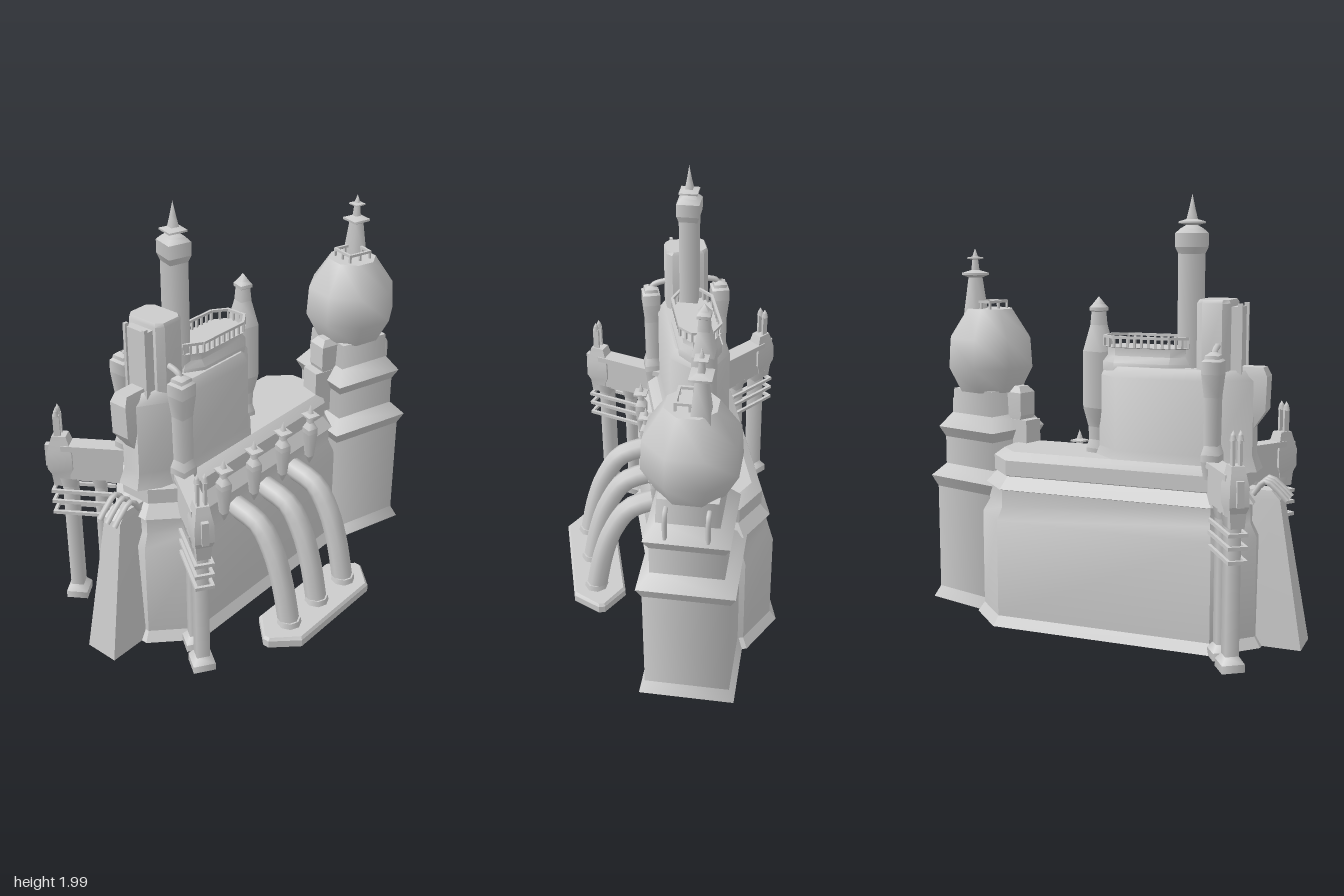
import * as THREE from 'three';
import { toCreasedNormals } from 'three/addons/utils/BufferGeometryUtils.js';

const grey = new THREE.MeshStandardMaterial({ color: 0xcccccc, side: THREE.DoubleSide });

function add(parent, name, geometry, x = 0, y = 0, z = 0) {
  const mesh = new THREE.Mesh(geometry, grey);
  mesh.name = name;
  mesh.position.set(x, y, z);
  parent.add(mesh);
  return mesh;
}

function group(parent, name, x = 0, z = 0, yaw = 0) {
  const g = new THREE.Group();
  g.name = name;
  g.position.set(x, 0, z);
  g.rotation.y = yaw;
  parent.add(g);
  return g;
}

// Box given by its bottom and top heights
function box(parent, name, w, d, y0, y1, x = 0, z = 0) {
  return add(parent, name, new THREE.BoxGeometry(w, y1 - y0, d), x, (y0 + y1) / 2, z);
}

// Skin over rings [y, [[x, z], ...]], bottom to top, counterclockwise from above
function loft(rings, crease = 0.9, openBottom = false) {
  const n = rings[0][1].length, pos = [], index = [];
  for (const [y, pts] of rings) for (const [x, z] of pts) pos.push(x, y, z);
  for (let r = 0; r < rings.length - 1; r++) for (let i = 0; i < n; i++) {
    const a = r * n + i, b = r * n + (i + 1) % n;
    index.push(a, b, b + n, a, b + n, a + n);
  }
  const top = (rings.length - 1) * n;
  for (let i = 1; i < n - 1; i++) {
    index.push(top, top + i, top + i + 1);
    if (!openBottom) index.push(0, i + 1, i);
  }
  const g = new THREE.BufferGeometry();
  g.setAttribute('position', new THREE.Float32BufferAttribute(pos, 3));
  g.setIndex(index);
  return toCreasedNormals(g, crease);
}

// Long octagon: half width a, half width of ends e, end and shoulder positions along z
const octagon = (a, e, zb, sb, sf, zf) =>
  [[e, zf], [a, sf], [a, sb], [e, zb], [-e, zb], [-a, sb], [-a, sf], [-e, zf]];
const rect = (a, z0, z1) => [[a, z1], [a, z0], [-a, z0], [-a, z1]];

// Four-sided turned shape from [half width, y]; doubled points keep the ledges crisp
function turned(profile) {
  const pts = [];
  profile.forEach(([r, y], i) => {
    const p = new THREE.Vector2(r * Math.SQRT2, y);
    pts.push(p);
    if (i > 0 && i < profile.length - 1) pts.push(p.clone());
  });
  return new THREE.LatheGeometry(pts, 4, Math.PI / 4);
}

function tube(parent, name, points, r, segs = 10, sides = 6) {
  const curve = new THREE.CatmullRomCurve3(points.map(p => new THREE.Vector3(...p)), false, 'centripetal');
  return add(parent, name, new THREE.TubeGeometry(curve, segs, r, sides));
}

// Handrail on posts around a closed outline
function railing(parent, outline, y, h, gap) {
  const rail = group(parent, 'railing');
  outline.forEach(([x, z], i) => {
    const [x2, z2] = outline[(i + 1) % outline.length];
    const len = Math.hypot(x2 - x, z2 - z), n = Math.max(1, Math.round(len / gap));
    const side = group(rail, 'railingSide', x, z, Math.atan2(x2 - x, z2 - z));
    box(side, 'handrail', 0.012, len, y + h - 0.012, y + h, 0, len / 2);
    for (let k = 0; k < n; k++) box(side, 'railingPost', 0.01, 0.01, y, y + h, 0, k * len / n);
  });
}

function buildHull(ship) {
  // Stepped long body, hollow underneath
  const ring = (y, d) => [y, octagon(0.285 - d, 0.11 - d * 0.4, -0.64 + d, -0.47 + d * 0.4, 0.58 - d * 0.4, 0.76 - d)];
  add(ship, 'hull', loft([ring(0, 0), ring(0.045, 0.03), ring(0.5, 0.03), ring(0.56, 0.062), ring(0.64, 0.062),
    ring(0.645, 0.048), ring(0.7, 0.095), ring(0.705, 0.085), ring(0.775, 0.085), ring(0.81, 0.13)], 0.5, true));

  // Sloping ram at the front with hooked teeth
  add(ship, 'ram', loft([[0, rect(0.082, 0.6, 0.935)], [0.03, rect(0.08, 0.6, 0.93)], [0.66, rect(0.048, 0.6, 0.82)],
    [0.7, rect(0.04, 0.6, 0.78)]], 0.3));
  for (const x of [-0.045, 0, 0.045])
    tube(ship, 'ramTooth', [[x, 0.68, 0.7], [x, 0.74, 0.75], [x, 0.7, 0.81], [x, 0.66, 0.85]], 0.014, 8, 5);

  // Pointed finials along the left flank
  const finial = turned([[0.003, 0.54], [0.016, 0.58], [0.026, 0.71], [0.026, 0.735], [0.013, 0.765], [0.012, 0.795],
    [0.032, 0.8], [0.032, 0.808], [0.011, 0.815], [0, 0.86]]);
  for (let i = 0; i < 4; i++) add(ship, 'flankFinial', finial, 0.25, 0, 0.377 - i * 0.21).rotation.y = -0.3;

  // Curved pipes standing on a plate
  const plate = octagon(0.125, 0.015, -0.3, -0.2, 0.32, 0.425);
  const shrink = plate.map(([x, z]) => [x * 0.92, 0.06 + (z - 0.06) * 0.97]);
  add(ship, 'pipePlate', loft([[0, plate], [0.035, plate], [0.048, shrink]], 0.3), 0.538);
  for (const z of [0.27, 0.06, -0.15]) {
    tube(ship, 'curvedPipe', [[0.55, 0.04, z], [0.505, 0.25, z], [0.45, 0.4, z], [0.37, 0.51, z], [0.22, 0.555, z]], 0.05, 14, 8);
    add(ship, 'pipeFoot', new THREE.CylinderGeometry(0.052, 0.058, 0.03, 8), 0.55, 0.06, z);
  }
}

function buildKeep(ship) {
  // Upper house with a railed deck
  const ring = (y, d) => [y, octagon(0.14 - d, 0.045 - d * 0.4, -0.03 + d, 0.08 + d * 0.4, 0.54 - d * 0.4, 0.69 - d)];
  add(ship, 'keep', loft([ring(0.78, -0.025), ring(0.85, 0), ring(1.18, 0), ring(1.225, 0.03)]));
  const deck = (y, d) => [y, octagon(0.1 - d, 0.05 - d * 0.4, -0.01 + d, 0.06, 0.32, 0.4 - d)];
  add(ship, 'deck', loft([deck(1.2, 0), deck(1.24, 0), deck(1.27, 0.02), deck(1.305, 0.02), deck(1.31, 0)], 0.6));
  railing(ship, deck(0, 0.006)[1], 1.31, 0.05, 0.032);

  // Bay hanging from the front
  add(ship, 'frontBay', loft([[0.97, rect(0.025, 0.6, 0.69)], [1.05, rect(0.045, 0.6, 0.745)], [1.2, rect(0.045, 0.6, 0.75)],
    [1.24, rect(0.035, 0.6, 0.73)]], 0.3));

  // Bridge tower in two steps
  const bridge = (y, d) => [y, octagon(0.1 - d, 0.075 - d, 0.44 + d, 0.47, 0.56, 0.59 - d)];
  add(ship, 'bridgeTower', loft([bridge(1.2, 0), bridge(1.515, 0), bridge(1.53, 0.008)], 0.5));
  box(ship, 'bridgeFront', 0.12, 0.1, 1.2, 1.5, 0, 0.58);
  for (const x of [-0.055, 0.055]) box(ship, 'bridgeRib', 0.014, 0.02, 1.2, 1.515, x, 0.63);

  // Tall main spire and the shorter rear chimney
  add(ship, 'mainSpire', turned([[0.043, 1.2], [0.043, 1.725], [0.053, 1.755], [0.053, 1.815], [0.036, 1.835], [0.018, 1.85],
    [0.043, 1.857], [0.043, 1.865], [0.018, 1.875], [0.01, 1.92], [0, 1.985]]), 0, 0, 0.39).rotation.y = -0.3;
  add(ship, 'rearChimney', turned([[0.042, 0.79], [0.042, 0.83], [0.033, 0.87], [0.035, 0.93], [0.052, 1.02], [0.052, 1.28],
    [0.028, 1.4], [0.024, 1.46], [0.031, 1.465], [0.031, 1.48], [0.02, 1.495], [0, 1.53]]), 0, 0, -0.05).rotation.y = -0.3;
}

function buildArm(ship, s) {
  // Smoke stack at the root with a pipe to the bridge
  add(ship, 'sideStack', turned([[0.03, 0.76], [0.04, 0.84], [0.04, 0.87], [0.03, 0.91], [0.032, 1.12], [0.042, 1.22],
    [0.042, 1.275], [0.032, 1.285], [0.03, 1.3], [0.01, 1.315]]), s * 0.17, 0, 0.545);
  tube(ship, 'stackPipe', [[s * 0.17, 1.28, 0.545], [s * 0.155, 1.315, 0.545], [s * 0.06, 1.34, 0.54]], 0.014);

  // Beam reaching out to a leg and a head
  const arm = group(ship, 'arm', s * 0.15, 0.537, s * Math.atan2(0.2925, 0.193));
  box(arm, 'armBeam', 0.06, 0.34, 0.66, 0.82, 0, 0.14);
  box(arm, 'armCap', 0.08, 0.36, 0.815, 0.842, 0, 0.14);
  const head = (y, a, d) => [y, rect(a, 0.32 - d, 0.335 + d)];
  add(arm, 'armHead', loft([head(0.625, 0.03, 0.03), head(0.69, 0.035, 0.035), head(0.72, 0.042, 0.05), head(0.8, 0.042, 0.05),
    head(0.85, 0.033, 0.036), head(0.885, 0.028, 0.025)], 0.3));
  for (const x of [-0.016, 0.016]) {
    box(arm, 'prong', 0.012, 0.03, 0.87, 0.99, x, 0.335);
    add(arm, 'prongTip', turned([[0.012, 0.985], [0.008, 1.01], [0, 1.03]]), x, 0, 0.335);
  }
  box(arm, 'headBracket', 0.03, 0.02, 0.72, 0.83, 0, 0.39);

  // Outer leg, inner strut and the cross bars joining them
  for (const [name, w, z] of [['leg', 0.03, 0.295], ['strut', 0.024, 0.155]])
    add(arm, name, turned([[w + 0.02, 0], [w + 0.02, 0.035], [w, 0.065], [w, 0.62], [w + 0.008, 0.67]]), 0, 0, z);
  for (const y of [0.485, 0.545, 0.6]) {
    for (const x of [-0.036, 0.036]) box(arm, 'crossBar', 0.014, 0.28, y - 0.008, y + 0.008, x, 0.235);
    box(arm, 'barEnd', 0.086, 0.014, y - 0.008, y + 0.008, 0, 0.37);
  }
}

function buildTower(root) {
  const tower = group(root, 'rearTower', 0.29, -0.63, -0.535);
  // Stacked square tiers, hollow underneath
  add(tower, 'towerBase', turned([[0.214, 0], [0.19, 0.055], [0.19, 0.57], [0.213, 0.625], [0.16, 0.685], [0.16, 0.82],
    [0.183, 0.87], [0.135, 0.94], [0.128, 1.06], [0, 1.06]]));
  // Rounded eight-sided bulb
  const bulb = [[0.155, 1.05], [0.217, 1.17], [0.208, 1.31], [0.115, 1.45], [0.115, 1.45], [0, 1.45]];
  add(tower, 'bulb', new THREE.LatheGeometry(bulb.map(p => new THREE.Vector2(...p)), 8, Math.PI / 8));
  railing(tower, rect(0.058, -0.058, 0.058), 1.45, 0.04, 0.06);

  // Off-centre spire
  add(tower, 'towerSpire', turned([[0.05, 1.32], [0.044, 1.4], [0.024, 1.6], [0.046, 1.612], [0.046, 1.622], [0.014, 1.635],
    [0.01, 1.685], [0.028, 1.69], [0.028, 1.696], [0.01, 1.7], [0, 1.74]]), -0.045, 0, -0.05);

  // Oriel above a bracket facing forward
  add(tower, 'oriel', loft([[0.9, rect(0.045, 0.08, 0.2)], [0.94, rect(0.05, 0.08, 0.215)], [1.05, rect(0.05, 0.08, 0.215)],
    [1.08, rect(0.03, 0.08, 0.19)]], 0.3), 0.03);
  box(tower, 'orielBracket', 0.1, 0.14, 0.7, 0.92, 0.03, 0.18);

  // Bent pipes behind the neck
  for (const x of [-0.09, 0.09])
    tube(tower, 'neckPipe', [[x, 1.015, -0.09], [x, 1.015, -0.15], [x, 1.0, -0.162], [x, 0.87, -0.165]], 0.011);
}

export function createModel() {
  const model = new THREE.Group();
  model.name = 'fortress';
  const ship = group(model, 'mainBody', -0.015, 0, -0.235);
  buildHull(ship);
  buildKeep(ship);
  for (const s of [-1, 1]) buildArm(ship, s);
  buildTower(model);
  return model;
}
